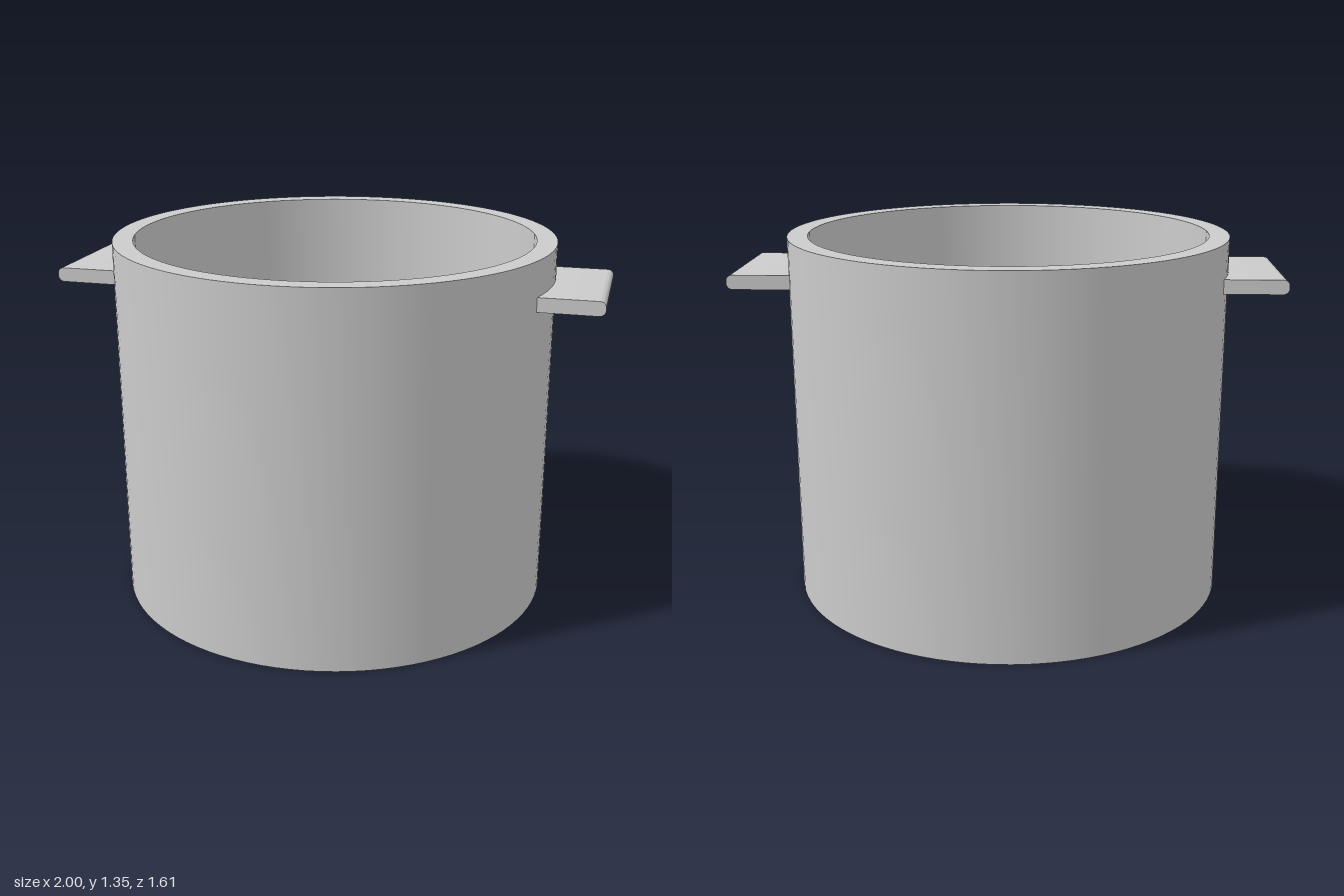
import * as THREE from 'three';
import { toCreasedNormals } from 'three/addons/utils/BufferGeometryUtils.js';

const OUTER = 0.807, INNER = 0.733, HEIGHT = 1.345, FLOOR = 0.074;
const material = new THREE.MeshStandardMaterial({ color: 0xcccccc });

// Thick-walled open cylinder with a solid floor
function potBody() {
  const profile = [[0, 0], [OUTER, 0], [OUTER, HEIGHT], [INNER, HEIGHT], [INNER, FLOOR], [0, FLOOR]]
    .map(([x, y]) => new THREE.Vector2(x, y));
  const mesh = new THREE.Mesh(toCreasedNormals(new THREE.LatheGeometry(profile, 96), 0.6), material);
  mesh.name = 'potBody';
  return mesh;
}

// Flat tab with a rounded outer edge; its inner edge follows the pot wall
function handle(name, turn) {
  const x0 = 0.7, x1 = 1, y0 = 1.165, y1 = 1.217, r = 0.022, half = 0.243;
  const shape = new THREE.Shape();
  shape.moveTo(x0, y0);
  shape.lineTo(x1 - r, y0);
  shape.absarc(x1 - r, y0 + r, r, -Math.PI / 2, 0, false);
  shape.absarc(x1 - r, y1 - r, r, 0, Math.PI / 2, false);
  shape.lineTo(x0, y1);
  const geometry = new THREE.ExtrudeGeometry(shape, {
    depth: 2 * half, steps: 16, bevelEnabled: false, curveSegments: 5,
  });
  geometry.translate(0, 0, -half);
  const p = geometry.attributes.position;
  for (let i = 0; i < p.count; i++) {
    if (p.getX(i) < x0 + 0.001) p.setX(i, Math.sqrt((OUTER - 0.005) ** 2 - p.getZ(i) ** 2));
  }
  const mesh = new THREE.Mesh(toCreasedNormals(geometry, 0.6), material);
  mesh.rotation.y = turn;
  mesh.name = name;
  return mesh;
}

export function createModel() {
  const group = new THREE.Group();
  group.name = 'cookingPot';
  group.add(potBody(), handle('leftHandle', 0), handle('rightHandle', Math.PI));
  return group;
}
